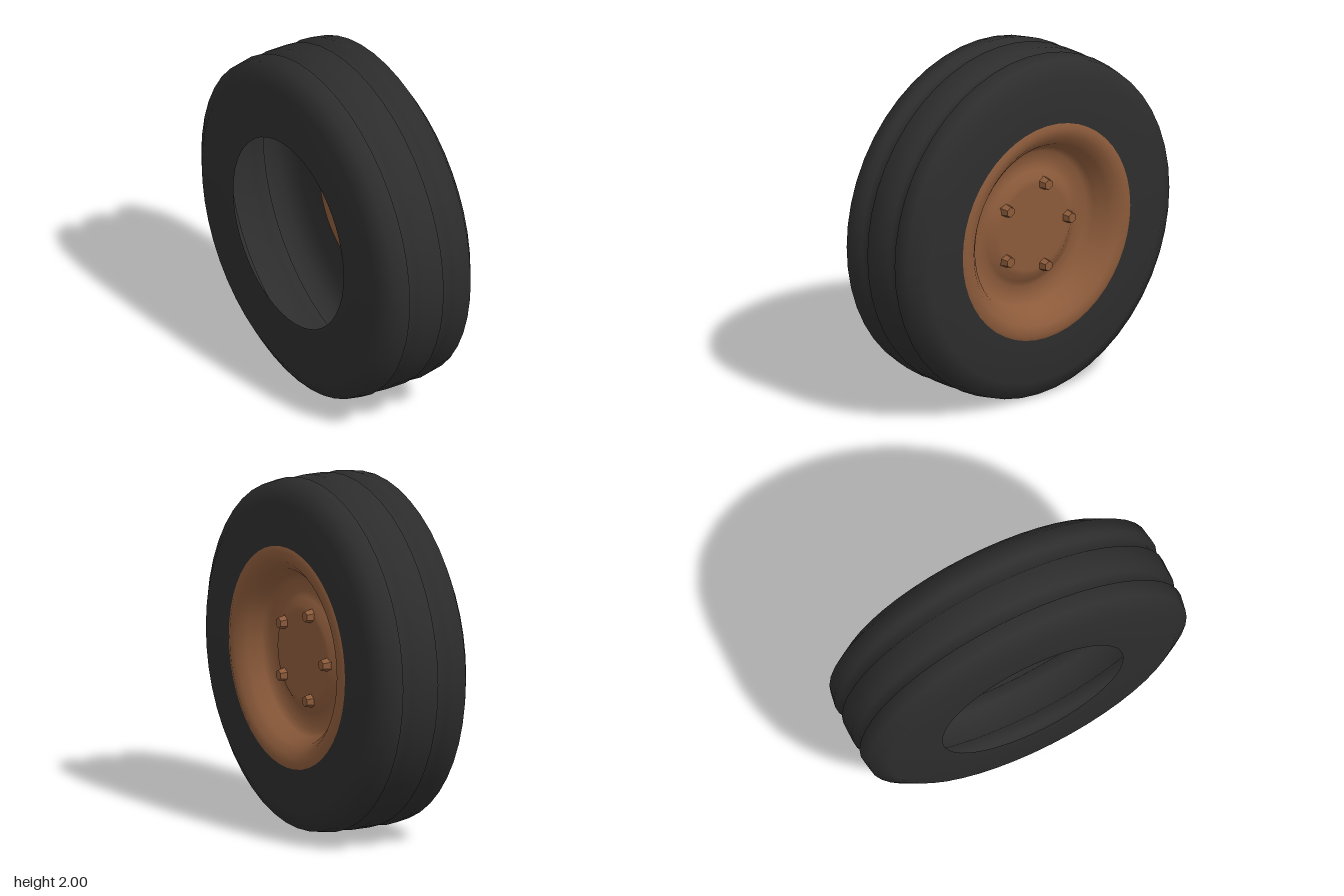
import * as THREE from 'three';

// Turns a [radius, x] profile around the x axle
function turned(name, profile, material) {
  const points = profile.map(([r, x]) => new THREE.Vector2(r, x));
  const geometry = new THREE.LatheGeometry(points, 48);
  geometry.rotateZ(-Math.PI / 2);
  const mesh = new THREE.Mesh(geometry, material);
  mesh.name = name;
  return mesh;
}

export function createModel() {
  const rubber = new THREE.MeshStandardMaterial({ color: 0x2d2d2d, side: THREE.DoubleSide });
  rubber.name = 'dark rubber';
  const rust = new THREE.MeshStandardMaterial({ color: 0x8b5a3a, side: THREE.DoubleSide });
  rust.name = 'rusty brown metal';

  const wheel = new THREE.Group();
  wheel.name = 'wheel';

  // Hollow tyre shell with two tread grooves, open at the inner side
  wheel.add(turned('tyre', [
    [0.56, -0.325], [0.88, -0.325], [0.985, -0.26], [1, -0.17],
    [0.963, -0.157], [0.963, -0.09], [1, -0.072],
    [1, 0.055], [0.963, 0.073], [0.963, 0.14], [1, 0.155],
    [0.985, 0.245], [0.88, 0.312], [0.6, 0.312],
  ], rubber));

  // Rim: flange, sloping dish wall, valley and raised hub plate
  wheel.add(turned('rim', [
    [0.63, 0.313], [0.6, 0.325], [0.55, 0.318], [0.5, 0.27], [0.46, 0.2],
    [0.43, 0.165], [0.36, 0.16], [0.325, 0.175], [0.285, 0.202], [0.25, 0.205], [0, 0.205],
  ], rust));

  // Five hexagonal wheel bolts
  const bolts = new THREE.Group();
  bolts.name = 'wheelBolts';
  const head = new THREE.CylinderGeometry(0.03, 0.041, 0.05, 6).toNonIndexed();
  head.computeVertexNormals();
  head.rotateZ(-Math.PI / 2);
  for (let i = 0; i < 5; i++) {
    const a = (i / 5) * Math.PI * 2;
    const bolt = new THREE.Mesh(head, rust);
    bolt.name = 'wheelBolt';
    bolt.rotation.x = Math.PI / 2;
    bolt.position.set(0.22, 0.255 * Math.sin(a), -0.255 * Math.cos(a));
    bolts.add(bolt);
  }
  wheel.add(bolts);

  wheel.position.y = 1;
  const model = new THREE.Group();
  model.name = 'wheelModel';
  model.add(wheel);
  return model;
}
